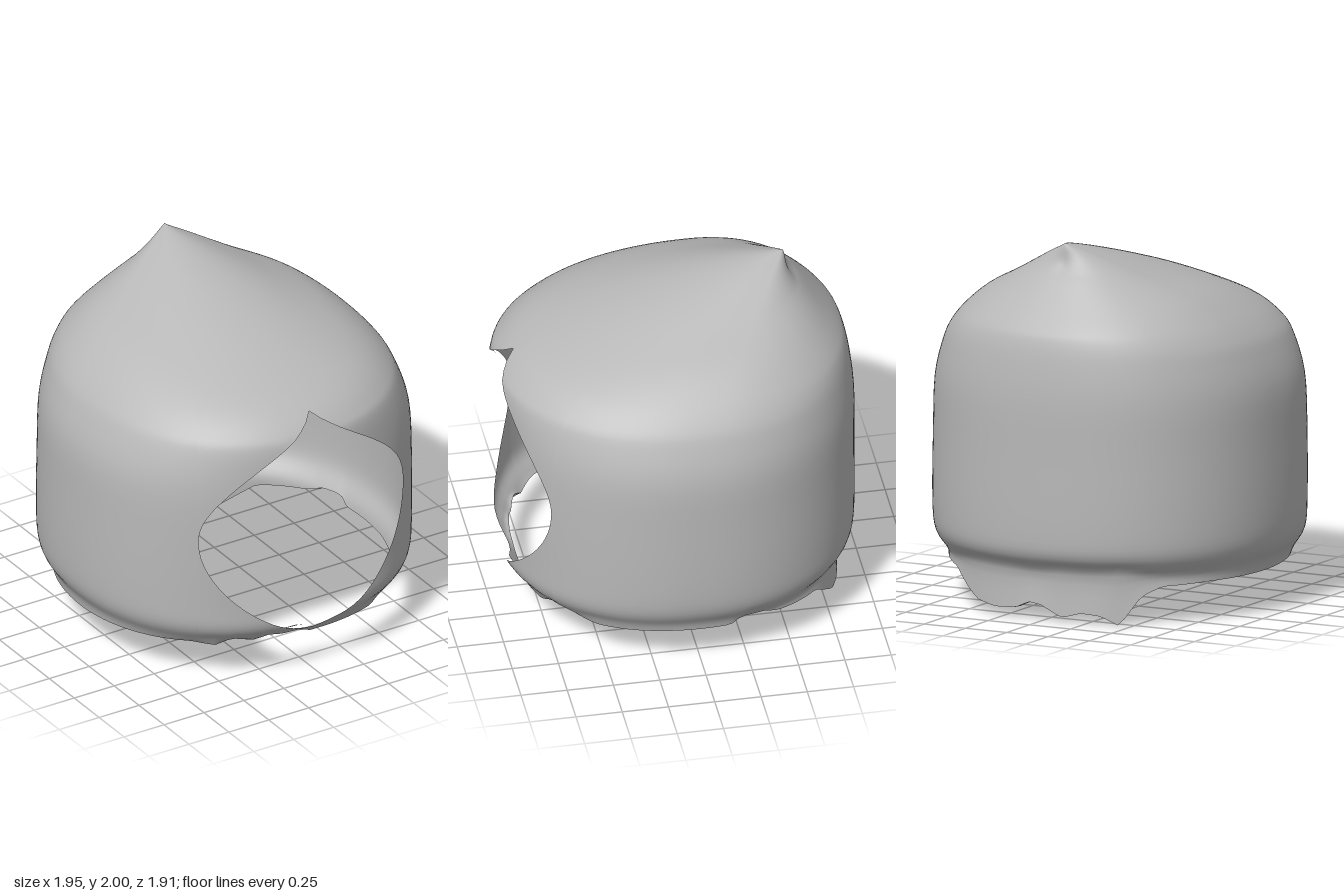
import * as THREE from 'three';

const N = 22, M = 120;            // columns: half of the face opening, rest of the hood
const L = 16, U = 40;             // rows below and above the opening's widest level
const COLS = 2 * N + M, ROWS = L + U + 2;
const APEX_Z = -0.6, THICK = 0.024, SPLIT = 4 / 14;
const HALF_ANGLE = Math.atan2(0.64, 0.768);

// Meridian profiles from hem to tip: [fraction of the rim radius, height]
const FRONT = [[.89, .22], [.93, .27], [.985, .35], [.99, .5], [1, .9], [1, 1.2], [.995, 1.4], [.97, 1.48],
  [.9, 1.57], [.77, 1.66], [.58, 1.77], [.385, 1.86], [.2, 1.935], [.06, 1.985], [0, 2]];
const SIDE = [[.92, .22], [.935, .28], [.99, .38], [1.005, .55], [1, .9], [.985, 1.2], [.92, 1.4], [.86, 1.5],
  [.76, 1.6], [.62, 1.7], [.41, 1.8], [.29, 1.86], [.13, 1.94], [.03, 1.985], [0, 2]];
const BACK = [[.9, .22], [.895, .26], [.975, .36], [.995, .5], [.995, .9], [.985, 1.2], [.93, 1.4], [.86, 1.52],
  [.77, 1.58], [.55, 1.68], [.28, 1.8], [.15, 1.85], [.06, 1.9], [.03, 1.97], [0, 2]];

// Torn hem: [degrees from the front, height], with the long ragged flap at the back
const HEM = [[-180, .09], [-172, .03], [-165, .06], [-158, .05], [-151.5, 0], [-144, .16], [-137, .21], [-120, .22],
  [-90, .22], [-70, .23], [-43, .24], [-35, .22], [-29, .26], [-22, .235], [-16, .26], [-12, .245], [-6, .25],
  [0, .22], [29, .21], [36, .26], [43, .25], [53, .22], [75, .23], [100, .23], [104, .27], [112, .265],
  [118, .235], [137, .21], [145, .13], [151.5, .07], [160, .05], [169.5, .06], [175, .1], [180, .09]];

function hemHeight(theta) {
  let d = THREE.MathUtils.radToDeg(theta);
  if (d > 180) d -= 360;
  const k = Math.max(1, HEM.findIndex(p => p[0] >= d));
  const [a, b] = [HEM[k - 1], HEM[k]];
  return a[1] + (b[1] - a[1]) * (d - a[0]) / (b[0] - a[0]);
}

// Teardrop face opening
function inOpening(p) {
  if (p.y < 0.26 || p.y > 1.545) return false;
  const u = p.y < 0.9 ? (p.y - 0.26) / 0.64 : (1.545 - p.y) / 0.645;
  const w = 0.64 * Math.pow(Math.max(0, 1 - (1 - u) ** 2), p.y < 0.9 ? 0.7 : 1.2);
  return Math.abs(p.x) <= w;
}

// One meridian of the hood as a function of t, hem (0) to tip (1)
function meridian(theta) {
  const s = Math.sin(theta), c = Math.cos(theta), n = 2.2;
  const R = 0.97 / Math.pow(Math.abs(s) ** n + Math.abs(c) ** n, 1 / n);
  const main = c > 0 ? FRONT : BACK, w = c * c;
  const hem = hemHeight(theta);
  const pts = SIDE.map((p, i) => new THREE.Vector2(
    p[0] + (main[i][0] - p[0]) * w, p[1] + (main[i][1] - p[1]) * w));
  pts[0].y = hem;
  pts[1].y = Math.max(pts[1].y, hem + 0.02);
  const curve = new THREE.SplineCurve(pts);
  return t => {
    const q = curve.getPoint(t);
    const cz = APEX_Z * THREE.MathUtils.smoothstep(q.y, 0.7, 1.2);
    return new THREE.Vector3(q.x * R * s, q.y, cz + q.x * (R * c - cz));
  };
}

function makeGeometry(positions, index) {
  const g = new THREE.BufferGeometry();
  g.setAttribute('position', new THREE.Float32BufferAttribute(positions, 3));
  g.setIndex(index);
  g.computeVertexNormals();
  return g;
}

export function createModel() {
  const group = new THREE.Group();
  group.name = 'hood';
  const grey = new THREE.MeshStandardMaterial({ color: 0xb8b8b8 });
  grey.name = 'plain grey';
  const add = (name, geometry) => {
    const mesh = new THREE.Mesh(geometry, grey);
    mesh.name = name;
    group.add(mesh);
  };

  // Outer surface points, column by column
  const outer = new Array(ROWS * COLS);
  for (let i = 0; i < COLS; i++) {
    const theta = i <= 2 * N
      ? HALF_ANGLE * Math.sin((i - N) / N * Math.PI / 2)
      : HALF_ANGLE + (2 * Math.PI - 2 * HALF_ANGLE) * (i - 2 * N) / M;
    const at = meridian(theta);
    let low = SPLIT, high = SPLIT;
    if (i > 0 && i < 2 * N) {
      for (let k = 0; k <= 2500; k++) {
        const t = 0.8 * k / 2500;
        if (!inOpening(at(t))) continue;
        low = Math.min(low, t);
        high = Math.max(high, t);
      }
    }
    for (let r = 0; r <= L; r++) outer[r * COLS + i] = at(low * r / L);
    for (let r = 0; r <= U; r++) outer[(L + 1 + r) * COLS + i] = at(high + (1 - high) * r / U);
  }

  // Rows meet at the split level everywhere except across the opening
  const id = (r, i) => {
    i %= COLS;
    return (r === L + 1 && (i === 0 || i >= 2 * N) ? L : r) * COLS + i;
  };
  const index = [];
  for (let r = 0; r < ROWS - 1; r++) {
    if (r === L) continue;
    for (let i = 0; i < COLS; i++) {
      const a = id(r, i), b = id(r, i + 1), c = id(r + 1, i + 1), d = id(r + 1, i);
      index.push(a, b, c);
      if (r < ROWS - 2) index.push(a, c, d);
    }
  }
  const shell = makeGeometry(outer.flatMap(p => p.toArray()), index);
  add('outerHood', shell);

  // Lining, offset inwards and facing the inside
  const normal = shell.getAttribute('normal');
  const inner = outer.map((p, k) =>
    p.clone().addScaledVector(new THREE.Vector3().fromBufferAttribute(normal, k), -THICK));
  const flipped = [];
  for (let k = 0; k < index.length; k += 3) flipped.push(index[k], index[k + 2], index[k + 1]);
  add('lining', makeGeometry(inner.flatMap(p => p.toArray()), flipped));

  // Edge band joining the shell and the lining along a closed loop
  const edge = (name, loop) => {
    const pos = loop.flatMap(k => [...outer[k].toArray(), ...inner[k].toArray()]);
    const idx = [];
    loop.forEach((_, k) => {
      const a = 2 * k, b = 2 * ((k + 1) % loop.length);
      idx.push(a, a + 1, b + 1, a, b + 1, b);
    });
    add(name, makeGeometry(pos, idx));
  };
  edge('tornHem', Array.from({ length: COLS }, (_, i) => id(0, i)));
  const opening = [];
  for (let i = 2 * N; i >= 0; i--) opening.push(id(L, i));
  for (let i = 1; i < 2 * N; i++) opening.push(id(L + 1, i));
  edge('faceOpeningRim', opening.reverse());

  return group;
}
